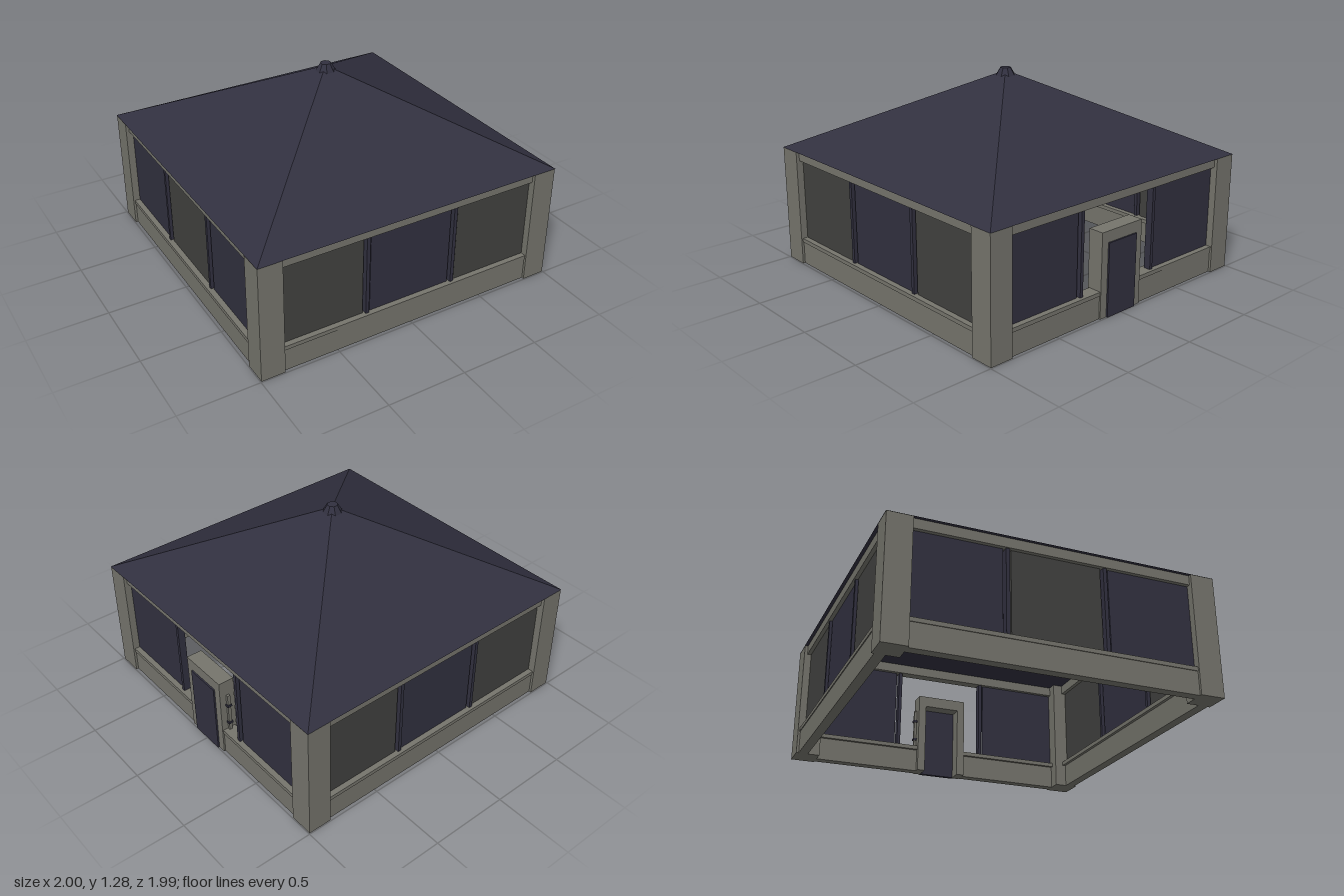
import * as THREE from 'three';

const mat = (name, color) => {
  const m = new THREE.MeshStandardMaterial({ color });
  m.name = name;
  return m;
};

export function createModel() {
  const stone = mat('stone', 0x75746c);
  const navy = mat('navy', 0x31303f);
  const charcoal = mat('charcoal', 0x41413f);
  const root = new THREE.Group();
  root.name = 'pavilion';

  // Box given by its minimum and maximum corners
  function box(parent, name, material, [x0, y0, z0], [x1, y1, z1]) {
    const geo = new THREE.BoxGeometry(x1 - x0, y1 - y0, z1 - z0);
    const mesh = new THREE.Mesh(geo, material);
    mesh.position.set((x0 + x1) / 2, (y0 + y1) / 2, (z0 + z1) / 2);
    mesh.name = name;
    parent.add(mesh);
    return mesh;
  }

  const EAVE = 0.75, SILL = 0.17, LINTEL = 0.69;
  const IN = 0.85; // inner edge of the pillars

  // Corner pillars
  for (const sx of [-1, 1]) for (const sz of [-1, 1]) {
    const p = box(root, 'cornerPillar', stone, [-0.075, 0, -0.075], [0.075, EAVE, 0.075]);
    p.position.x = sx * 0.92;
    p.position.z = sz * 0.92;
  }

  // One side, built facing +z and then turned into place
  function wall(name, angle, outer, middle, open) {
    const g = new THREE.Group();
    g.name = name;
    const spans = open ? [[-IN, -0.165], [0.165, IN]] : [[-IN, IN]];
    for (const [a, b] of spans) {
      box(g, 'lowWall', stone, [a, 0, 0.92], [b, SILL - 0.025, 0.98]);
      box(g, 'sill', stone, [a, SILL - 0.025, 0.9], [b, SILL, 0.985]);
    }
    box(g, 'topBeam', stone, [-IN, LINTEL, 0.91], [IN, EAVE, 0.975]);
    // Panels and the slim posts standing in the gaps between them
    for (const s of [-1, 1]) {
      const x = s * 0.585;
      box(g, 'sidePanel', outer, [x - 0.265, SILL, 0.935], [x + 0.265, LINTEL, 0.95]);
      box(g, 'post', navy, [s * 0.296 - 0.011, SILL, 0.92], [s * 0.296 + 0.011, LINTEL, 0.965]);
    }
    if (!open) box(g, 'middlePanel', middle, [-0.272, SILL, 0.935], [0.272, LINTEL, 0.95]);
    g.rotation.y = angle;
    root.add(g);
    return g;
  }
  wall('frontWall', 0, charcoal, navy, false);
  wall('backWall', Math.PI, charcoal, navy, false);
  wall('rightWall', -Math.PI / 2, navy, charcoal, false);
  const entry = wall('entryWall', Math.PI / 2, navy, charcoal, true);

  // Doorway: portal frame, door leaf and a bracketed pull bar beside it
  for (const s of [-1, 1]) {
    const jamb = box(entry, 'doorJamb', stone, [-0.025, 0, 0.89], [0.025, 0.46, 0.99]);
    jamb.position.x = s * 0.14;
  }
  box(entry, 'doorLintel', stone, [-0.165, 0.46, 0.89], [0.165, 0.53, 0.99]);
  box(entry, 'door', navy, [-0.115, 0, 0.975], [0.115, 0.46, 1.0]);
  box(entry, 'pullBar', stone, [0.168, SILL, 0.93], [0.184, 0.43, 0.95]);
  for (const y of [0.225, 0.355])
    box(entry, 'barBracket', navy, [0.16, y - 0.007, 0.925], [0.19, y + 0.007, 0.955]);

  // Four-sided roof with a closed underside
  const roofGeo = new THREE.ConeGeometry(Math.SQRT2 * 0.997, 0.515, 4, 1).toNonIndexed();
  roofGeo.rotateY(Math.PI / 4);
  roofGeo.computeVertexNormals();
  const roof = new THREE.Mesh(roofGeo, navy);
  roof.position.y = EAVE + 0.2575;
  roof.name = 'roof';
  root.add(roof);

  // Eight-sided cap on the peak
  const capGeo = new THREE.CylinderGeometry(0.033, 0.066, 0.055, 8).toNonIndexed();
  capGeo.rotateY(Math.PI / 8);
  capGeo.computeVertexNormals();
  const cap = new THREE.Mesh(capGeo, navy);
  cap.position.y = 1.256;
  cap.name = 'roofCap';
  root.add(cap);

  return root;
}
